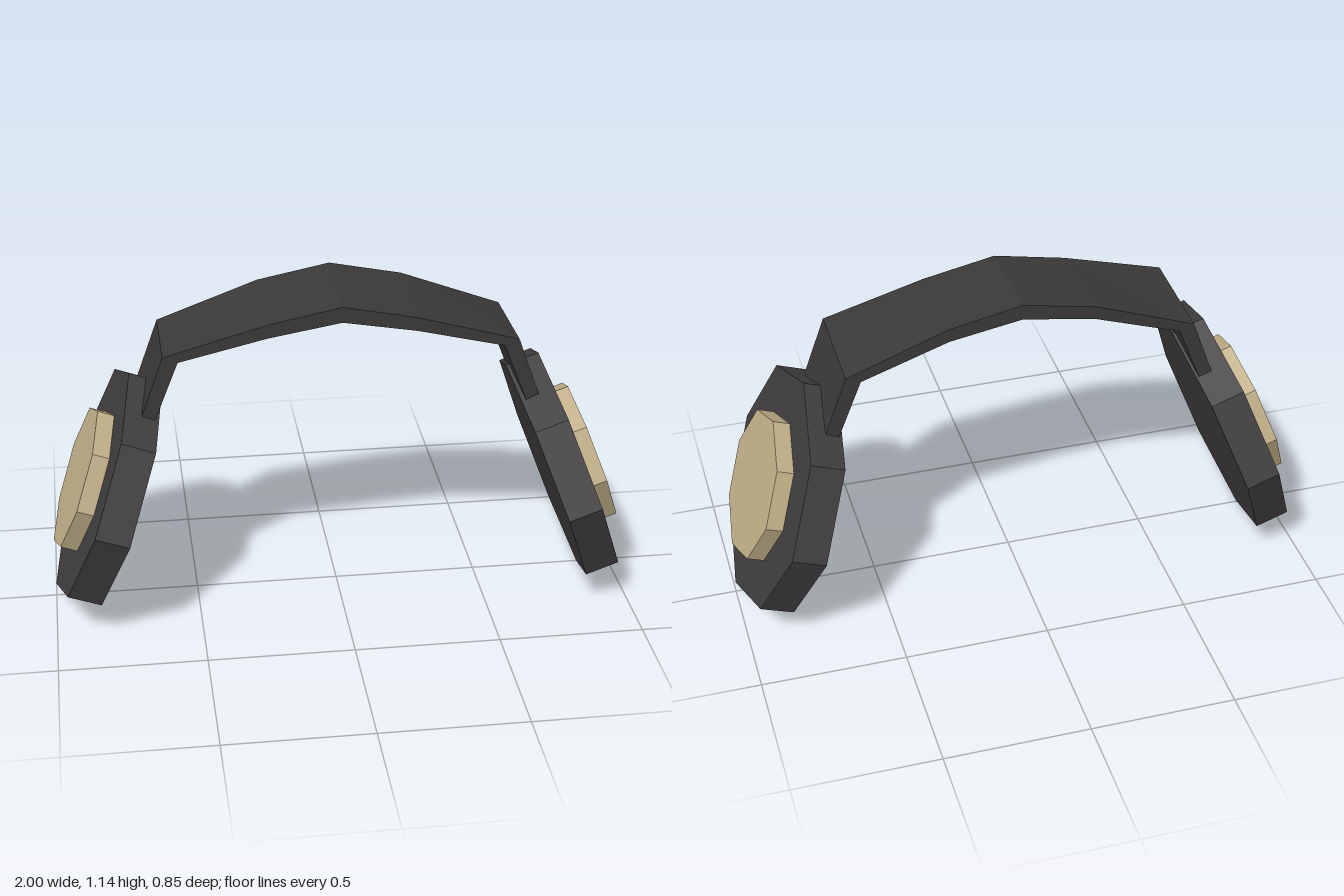
import * as THREE from 'three';

const material = (color) => new THREE.MeshStandardMaterial({ color, flatShading: true });

function addMesh(parent, name, geometry, mat) {
  const mesh = new THREE.Mesh(geometry, mat);
  mesh.name = name;
  parent.add(mesh);
  return mesh;
}

// Folded strap: one arched outline extruded front to back, slightly twisted
function bandGeometry() {
  const outer = [[0.675, 0.76], [0.6, 0.967], [0.25, 1.08], [0, 1.13]];
  const inner = [[0.632, 0.74], [0.55, 0.946], [0.25, 1.032], [0, 1.075]];
  const mirror = (half) => half.slice(0, -1).reverse().map(([x, y]) => [-x, y]);
  const right = [...outer, ...mirror(outer)];
  const back = [...inner, ...mirror(inner)].reverse();
  const shape = new THREE.Shape([...right, ...back].map(([x, y]) => new THREE.Vector2(x, y)));
  const geometry = new THREE.ExtrudeGeometry(shape, { depth: 0.355, bevelEnabled: false });
  geometry.translate(0, 0, -0.185);
  const p = geometry.attributes.position;
  for (let i = 0; i < p.count; i++) {
    const tilt = p.getY(i) > 1 ? -0.056 : 0.035;
    p.setY(i, p.getY(i) + p.getZ(i) * tilt);
  }
  geometry.computeVertexNormals();
  return geometry;
}

export function createModel() {
  const model = new THREE.Group();
  model.name = 'headphones';
  const bandMat = material(0x3b3938);
  const cupMat = material(0x403d3f);
  const plateMat = material(0xc0ae88);

  addMesh(model, 'headband', bandGeometry(), bandMat);

  // Octagonal ear cups leaning inwards, each with a raised outer plate
  const cupGeo = new THREE.CylinderGeometry(0.426, 0.426, 0.12, 8);
  const plateGeo = new THREE.CylinderGeometry(0.26, 0.26, 0.07, 8);
  for (const side of [1, -1]) {
    const ear = new THREE.Group();
    ear.name = side > 0 ? 'leftEarCup' : 'rightEarCup';
    ear.position.set(side * 0.797, side > 0 ? 0.421 : 0.427, 0);
    ear.rotation.z = -side * THREE.MathUtils.degToRad(70);
    addMesh(ear, 'cup', cupGeo, cupMat);
    addMesh(ear, 'outerPlate', plateGeo, plateMat).position.y = 0.084;
    model.add(ear);
  }
  return model;
}
